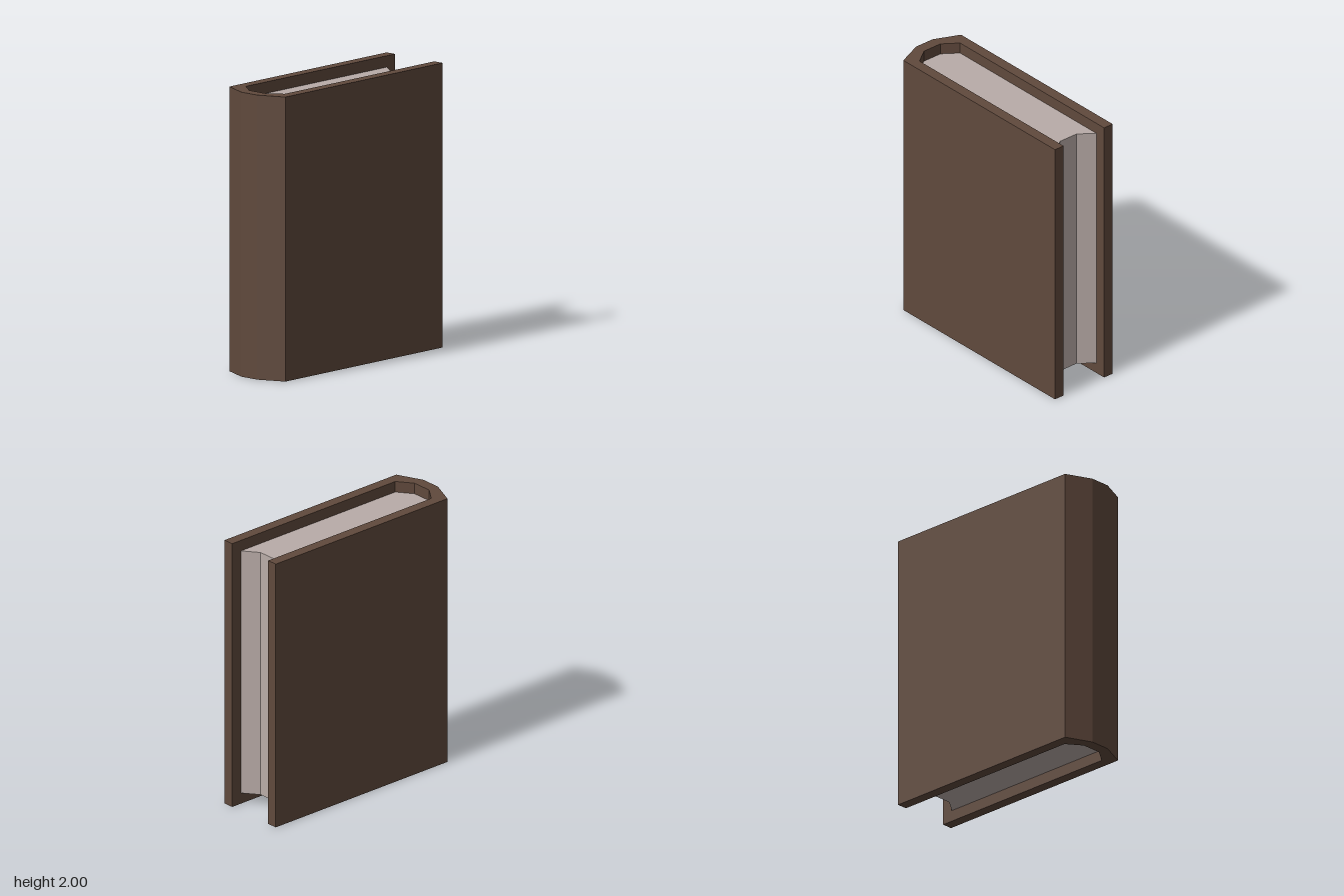
import * as THREE from 'three';

const coverBrown = new THREE.MeshStandardMaterial({ color: 0x60493c });
coverBrown.name = 'coverBrown';
const pagePaper = new THREE.MeshStandardMaterial({ color: 0xb9aca8 });
pagePaper.name = 'pagePaper';

// Extrudes a plan outline of [x, z] points upward from y = bottom to y = top
function upright(name, outline, bottom, top, material) {
  const shape = new THREE.Shape(outline.map(([x, z]) => new THREE.Vector2(x, -z)));
  const geometry = new THREE.ExtrudeGeometry(shape, { depth: top - bottom, bevelEnabled: false });
  geometry.rotateX(-Math.PI / 2);
  geometry.translate(0, bottom, 0);
  const mesh = new THREE.Mesh(geometry, material);
  mesh.name = name;
  return mesh;
}

// Completes the -x half of an outline with its mirror image
const mirrored = (half) => [...half, ...half.slice().reverse().map(([x, z]) => [-x, z])];

export function createModel() {
  const book = new THREE.Group();
  book.name = 'book';

  // Boards and faceted spine as one U-shaped wrap, spine at the front
  const cover = mirrored([
    [-0.075, 0.755], [-0.185, 0.675], [-0.185, -0.837],
    [-0.263, -0.837], [-0.263, 0.755], [-0.075, 0.837],
  ]);
  book.add(upright('cover', cover, 0, 2, coverBrown));

  // Page block, rounded into the spine and hollowed at the fore edge
  const pages = mirrored([
    [-0.075, 0.755], [-0.185, 0.675], [-0.185, -0.755], [-0.075, -0.673],
  ]);
  book.add(upright('pageBlock', pages, 0.08, 1.92, pagePaper));

  return book;
}
